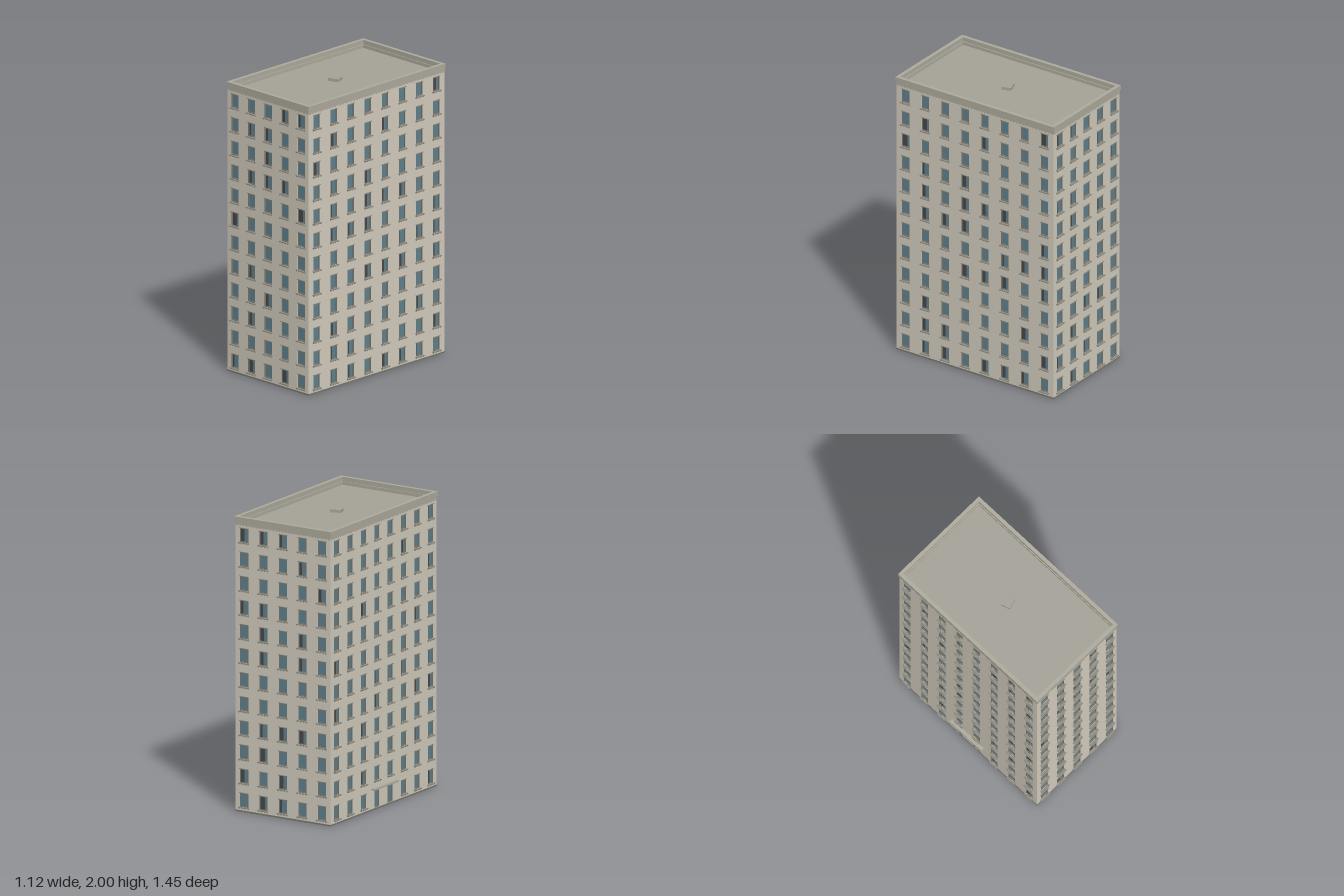
import * as THREE from 'three';
import { mergeGeometries } from 'three/addons/utils/BufferGeometryUtils.js';

const HALF_W = 0.374, HALF_L = 0.634, WALL_TOP = 1.95, THICK = 0.02;
const FLOORS = 12, FLOOR_H = 0.1635, FIRST_Y = 0.08, WIN_H = 0.094;

const mat = (color) => new THREE.MeshStandardMaterial({ color, roughness: 0.9, side: THREE.DoubleSide });
const MATS = {
  wall: mat(0xd2ccbd), trim: mat(0xaeaa9d), roof: mat(0xa5a297), frame: mat(0x77766e),
  glass: mat(0x5f808c), dark: mat(0x484848), sill: mat(0x8d8a80),
};

let seed = 7;
const rand = () => (seed = (seed * 16807) % 2147483647) / 2147483647;

function box(w, h, d, x, y, z) {
  return new THREE.BoxGeometry(w, h, d).translate(x, y, z);
}

function addMesh(parent, name, geometry, material) {
  const mesh = new THREE.Mesh(geometry, material);
  mesh.name = name;
  parent.add(mesh);
  return mesh;
}

function rectPath(PathType, x0, y0, x1, y1) {
  const p = new PathType();
  p.moveTo(x0, y0);
  p.lineTo(x1, y0);
  p.lineTo(x1, y1);
  p.lineTo(x0, y1);
  p.closePath();
  return p;
}

// One facade: outer wall face on z = 0, facing +z
function facade({ name, width, columns, spacing, winW, wallWidth = width, doors = [] }) {
  const group = new THREE.Group();
  group.name = name;
  const wall = rectPath(THREE.Shape, -wallWidth / 2, 0, wallWidth / 2, WALL_TOP);
  const parts = { windowFrames: [], windowGlass: [], windowShade: [], windowSills: [], openSashes: [] };

  for (let f = 0; f < FLOORS; f++) {
    for (let c = 0; c < columns; c++) {
      const isDoor = f === 0 && doors.includes(c);
      const x = (c - (columns - 1) / 2) * spacing;
      const top = FIRST_Y + f * FLOOR_H + WIN_H / 2;
      const h = isDoor ? top - 0.012 : WIN_H;
      const y = top - h / 2, bottom = top - h;
      wall.holes.push(rectPath(THREE.Path, x - winW / 2, bottom, x + winW / 2, top));

      // Recessed frame, pane and dark room behind it
      const t = 0.004;
      for (const s of [-1, 1]) {
        parts.windowFrames.push(box(t, h, 0.012, x + s * (winW - t) / 2, y, -0.007));
        parts.windowFrames.push(box(winW, t, 0.012, x, y + s * (h - t) / 2, -0.007));
      }
      parts.windowGlass.push(box(winW, h, 0.002, x, y, -0.011));
      parts.windowShade.push(box(winW, h, 0.002, x, y, -0.018));

      // Some windows stand partly open or have a drawn curtain
      const r = rand();
      if (r < 0.35) {
        const w = winW * (0.2 + r);
        parts.windowShade.push(box(w, h - 2 * t, 0.002, x - (winW - w) / 2 + t, y, -0.0095));
      }
      if (isDoor) continue;
      if (rand() < 0.4) parts.openSashes.push(box(winW, 0.034, 0.022, x, bottom + 0.017, -0.031));

      // Lintel, sill and small brackets
      parts.windowSills.push(box(winW + 0.006, 0.004, 0.006, x, top + 0.002, 0.003));
      parts.windowSills.push(box(winW + 0.012, 0.005, 0.016, x, bottom - 0.0025, 0.008));
      for (let i = 0; i < 4; i++) {
        const bx = x + (i / 3 - 0.5) * (winW + 0.004);
        parts.windowSills.push(box(0.004, 0.007, 0.01, bx, bottom - 0.0085, 0.005));
      }
    }
  }

  const wallGeo = new THREE.ExtrudeGeometry(wall, { depth: THICK, bevelEnabled: false });
  addMesh(group, 'wall', wallGeo.translate(0, 0, -THICK), MATS.wall);
  const materials = {
    windowFrames: MATS.frame, windowGlass: MATS.glass, windowShade: MATS.dark,
    windowSills: MATS.sill, openSashes: MATS.glass,
  };
  for (const [key, list] of Object.entries(parts)) addMesh(group, key, mergeGeometries(list), materials[key]);

  // Row of small dentils below the cornice
  const dentils = [];
  const n = Math.round(width / 0.026);
  for (let i = 0; i < n; i++) {
    dentils.push(box(0.008, 0.006, 0.004, ((i + 0.5) / n - 0.5) * width, 1.944, 0.002));
  }
  addMesh(group, 'dentils', mergeGeometries(dentils), MATS.trim);
  return group;
}

// Horizontal rectangular ring between two heights
function ring(halfW, halfL, inset, y0, y1) {
  const s = rectPath(THREE.Shape, -halfW, -halfL, halfW, halfL);
  s.holes.push(rectPath(THREE.Path, -halfW + inset, -halfL + inset, halfW - inset, halfL - inset));
  const g = new THREE.ExtrudeGeometry(s, { depth: y1 - y0, bevelEnabled: false });
  return g.rotateX(-Math.PI / 2).translate(0, y0, 0);
}

export function createModel() {
  const model = new THREE.Group();
  model.name = 'apartmentBlock';
  const building = new THREE.Group();
  building.name = 'building';
  building.rotation.y = -0.314;
  model.add(building);

  // Four facades; the long ones fit between the short ones
  const short = { width: 2 * HALF_W, columns: 5, spacing: 0.153, winW: 0.066 };
  const long = {
    width: 2 * HALF_L, wallWidth: 2 * (HALF_L - THICK), columns: 8, spacing: 0.16, winW: 0.06,
  };
  const sides = [
    { ...short, name: 'frontFacade', angle: 0, dist: HALF_L },
    { ...long, name: 'leftFacade', angle: Math.PI / 2, dist: HALF_W },
    { ...short, name: 'backFacade', angle: Math.PI, dist: HALF_L },
    { ...long, name: 'entranceFacade', angle: -Math.PI / 2, dist: HALF_W, doors: [3, 4] },
  ];
  for (const side of sides) {
    const f = facade(side);
    f.rotation.y = side.angle;
    f.position.set(Math.sin(side.angle) * side.dist, 0, Math.cos(side.angle) * side.dist);
    building.add(f);
  }

  // Plinth, cornice and parapet
  addMesh(building, 'plinth', ring(HALF_W + 0.003, HALF_L + 0.003, 0.026, 0, 0.01), MATS.frame);
  addMesh(building, 'cornice', ring(HALF_W + 0.003, HALF_L + 0.003, 0.028, 1.947, 1.97), MATS.trim);
  addMesh(building, 'parapet', ring(HALF_W + 0.006, HALF_L + 0.006, 0.025, 1.97, 2), MATS.trim);

  // Flat roof
  addMesh(building, 'roof', box(2 * HALF_W - 0.03, 0.008, 2 * HALF_L - 0.03, 0, 1.944, 0), MATS.roof);

  // Entrance canopy over the doors
  addMesh(building, 'entranceCanopy', box(0.026, 0.012, 0.293, -0.387, 0.145, 0), MATS.trim);

  // Roof hatch, square to the axes rather than to the walls
  addMesh(model, 'roofHatch', box(0.075, 0.024, 0.065, -0.005, 1.956, 0.002), MATS.roof);
  return model;
}
